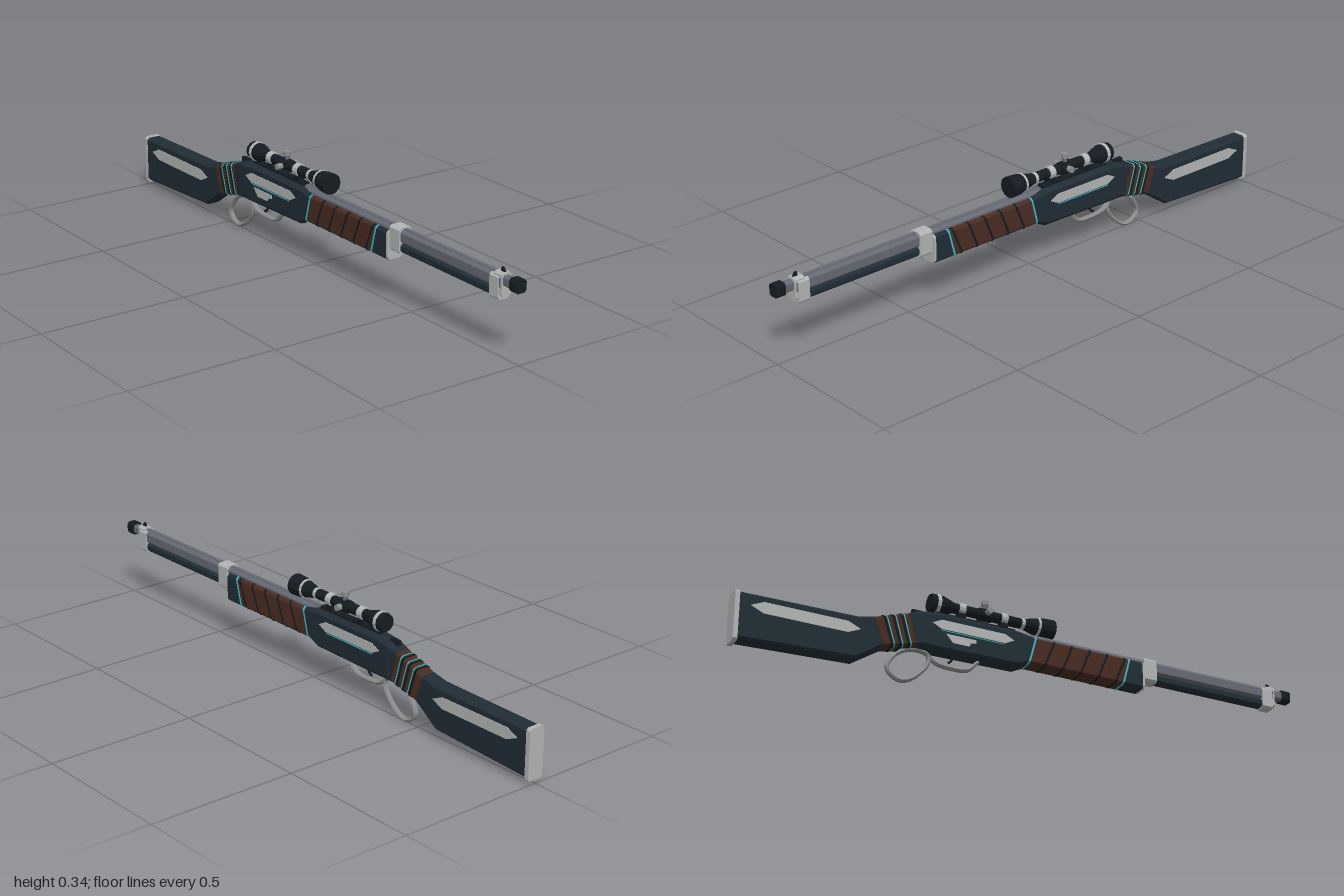
import * as THREE from 'three';

const mat = (name, color, extra = {}) => {
  const m = new THREE.MeshStandardMaterial({ color, flatShading: true, ...extra });
  m.name = name;
  return m;
};

export function createModel() {
  const group = new THREE.Group();
  const navy = mat('dark navy', 0x212d36);
  const black = mat('black', 0x151c21);
  const silver = mat('silver', 0xb4b6b6);
  const steel = mat('barrel steel', 0x676a74);
  const lever = mat('lever grey', 0x8b8c8c);
  const brown = mat('brown wrap', 0x4a2c22);
  const cyan = mat('cyan trim', 0x35c3cc);

  const add = (name, geometry, material, x = 0, y = 0, z = 0) => {
    const mesh = new THREE.Mesh(geometry, material);
    mesh.name = name;
    mesh.position.set(x, y, z);
    group.add(mesh);
    return mesh;
  };

  // Chamfered sections along x; station = [topX, topY, bottomX, bottomY, halfWidth, chamfer]
  const loft = (stations) => {
    const rings = stations.map(([tx, ty, bx, by, w, c]) => {
      const f = c / (ty - by), n = w - c;
      return [[0, n], [f, w], [1 - f, w], [1, n], [1, -n], [1 - f, -w], [f, -w], [0, -n]]
        .map(([t, z]) => [tx + (bx - tx) * t, ty + (by - ty) * t, z]);
    });
    const pos = [];
    const tri = (...p) => p.forEach((q) => pos.push(...q));
    for (let i = 0; i < rings.length - 1; i++) {
      const a = rings[i], b = rings[i + 1];
      for (let j = 0; j < 8; j++) {
        const k = (j + 1) % 8;
        tri(a[j], a[k], b[k]);
        tri(a[j], b[k], b[j]);
      }
    }
    const first = rings[0], last = rings[rings.length - 1];
    for (let j = 1; j < 7; j++) {
      tri(first[0], first[j + 1], first[j]);
      tri(last[0], last[j], last[j + 1]);
    }
    const g = new THREE.BufferGeometry();
    g.setAttribute('position', new THREE.Float32BufferAttribute(pos, 3));
    g.computeVertexNormals();
    return g;
  };
  const bar = (x0, x1, y0, y1, w, c) => loft([[x0, y1, x0, y0, w, c], [x1, y1, x1, y0, w, c]]);

  // Thin slanted band wrapped around a section between stations a and b
  const wrap = (name, a, b, t, width, material, grow, lean = 0) => {
    const s = a.map((v, i) => v + (b[i] - v) * t);
    const slice = (d) => [s[0] + d + lean, s[1] + grow, s[2] + d - lean, s[3] - grow, s[4] + grow, s[5]];
    add(name, loft([slice(-width / 2), slice(width / 2)]), material);
  };

  // Thin decorative plate on one side
  const plate = (name, pts, z, material) => {
    const shape = new THREE.Shape(pts.map((p) => new THREE.Vector2(...p)));
    const g = new THREE.ExtrudeGeometry(shape, { depth: 0.004, bevelEnabled: false });
    add(name, g, material, 0, 0, z - 0.002);
  };

  // Stock and butt plate
  add('stock', loft([
    [-0.985, 0.183, -0.985, 0.026, 0.028, 0.008],
    [-0.6, 0.188, -0.605, 0.042, 0.028, 0.008],
    [-0.545, 0.2, -0.515, 0.102, 0.027, 0.008],
  ]), navy);
  add('buttPlate', bar(-1, -0.985, 0.018, 0.186, 0.029, 0.007), silver);

  // Wrapped grip
  const gripA = [-0.545, 0.2, -0.513, 0.104, 0.027, 0.008];
  const gripB = [-0.43, 0.238, -0.4, 0.13, 0.027, 0.008];
  add('grip', loft([gripA, gripB]), brown);
  for (let i = 0; i < 3; i++) {
    wrap('gripBand', gripA, gripB, 0.26 + i * 0.25, 0.009, black, 0.0012);
    wrap('gripTrim', gripA, gripB, 0.33 + i * 0.25, 0.004, cyan, 0.0012);
  }

  // Receiver with hammer
  add('receiver', loft([
    [-0.43, 0.238, -0.4, 0.13, 0.028, 0.008],
    [-0.385, 0.256, -0.385, 0.13, 0.031, 0.012],
    [-0.32, 0.263, -0.32, 0.13, 0.031, 0.012],
    [-0.04, 0.262, -0.05, 0.134, 0.031, 0.012],
    [0.012, 0.252, -0.014, 0.152, 0.031, 0.012],
  ]), navy);
  add('hammer', bar(-0.41, -0.375, 0.24, 0.264, 0.008, 0.002), black);

  // Wrapped fore-end
  const foreA = [0.012, 0.25, -0.014, 0.154, 0.03, 0.008];
  const foreB = [0.365, 0.25, 0.339, 0.154, 0.03, 0.008];
  add('foreEnd', loft([foreA, foreB]), brown);
  for (let i = 1; i <= 5; i++) wrap('foreEndBand', foreA, foreB, i / 5.4, 0.008, black, 0.001, 0.007);
  wrap('foreEndTrim', foreA, foreB, 0.01, 0.006, cyan, 0.0015);
  wrap('foreEndTrim', foreA, foreB, 0.99, 0.006, cyan, 0.0015);
  add('foreEndCap', loft([foreB, [0.41, 0.25, 0.41, 0.154, 0.03, 0.008]]), navy);
  add('foreEndRim', bar(0.41, 0.418, 0.155, 0.249, 0.029, 0.008), silver);

  // Barrel, magazine tube, bands and muzzle
  add('barrel', bar(-0.04, 0.93, 0.22, 0.265, 0.019, 0.009), steel);
  add('barrelRib', bar(-0.04, 0.9, 0.262, 0.268, 0.007, 0.001), steel);
  add('magazineTube', bar(0.4, 0.92, 0.192, 0.221, 0.018, 0.007), navy);
  add('rearBand', bar(0.42, 0.468, 0.188, 0.27, 0.024, 0.007), silver);
  add('frontBand', bar(0.885, 0.925, 0.188, 0.264, 0.022, 0.007), silver);
  add('frontBandLug', bar(0.9, 0.936, 0.2, 0.272, 0.018, 0.006), silver);
  add('muzzleNeck', bar(0.93, 0.972, 0.233, 0.265, 0.014, 0.006), steel);
  add('muzzle', bar(0.968, 1, 0.229, 0.27, 0.019, 0.007), black);
  add('frontSight', loft([
    [0.915, 0.285, 0.912, 0.265, 0.003, 0.0005],
    [0.922, 0.285, 0.935, 0.265, 0.003, 0.0005],
  ]), black);

  // Lever loop, trigger guard and trigger
  const tube = (name, pts, closed, radius, material) => {
    const curve = new THREE.CatmullRomCurve3(pts.map(([x, y]) => new THREE.Vector3(x, y, 0)), closed);
    add(name, new THREE.TubeGeometry(curve, 36, radius, 6, closed), material).scale.z = 1.3;
  };
  tube('leverLoop', [[-0.49, 0.05], [-0.478, 0.028], [-0.445, 0.013], [-0.405, 0.027], [-0.353, 0.085],
    [-0.352, 0.118], [-0.405, 0.126], [-0.457, 0.102]], true, 0.007, lever);
  tube('triggerGuard', [[-0.35, 0.115], [-0.325, 0.097], [-0.27, 0.09], [-0.215, 0.096], [-0.178, 0.132]],
    false, 0.007, lever);
  tube('trigger', [[-0.272, 0.135], [-0.27, 0.118], [-0.285, 0.104]], false, 0.004, black);

  // Side inlays on both sides
  const inlay = (x0, x1, y, h, e) =>
    [[x0, y], [x0 + e, y - h], [x1 - e, y - h], [x1, y], [x1 - e, y + h], [x0 + e, y + h]];
  for (const s of [1, -1]) {
    plate('stockInlay', inlay(-0.95, -0.592, 0.142, 0.019, 0.042), s * 0.028, silver);
    plate('receiverInlay', inlay(-0.352, -0.065, 0.219, 0.016, 0.032), s * 0.031, silver);
    plate('receiverTrim', [[-0.32, 0.198], [-0.1, 0.198], [-0.1, 0.2], [-0.32, 0.2]], s * 0.031, cyan);
  }
  plate('loadingGate', [[-0.305, 0.19], [-0.28, 0.163], [-0.225, 0.163], [-0.215, 0.176], [-0.2, 0.178],
    [-0.2, 0.19]], 0.031, silver);

  // Scope body, rings, turrets and mounts
  const scopeY = 0.302;
  const turned = (name, pts, material) => {
    const g = new THREE.LatheGeometry(pts.map(([x, r]) => new THREE.Vector2(r, x)), 12);
    g.rotateZ(-Math.PI / 2);
    add(name, g, material, 0, scopeY, 0);
  };
  turned('scopeBody', [[-0.35, 0], [-0.35, 0.029], [-0.34, 0.031], [-0.305, 0.03], [-0.265, 0.017],
    [-0.02, 0.017], [0.025, 0.028], [0.05, 0.033], [0.088, 0.035], [0.088, 0]], black);
  for (const [x, r, w] of [[-0.326, 0.0325, 0.012], [-0.24, 0.021, 0.022], [-0.09, 0.021, 0.022],
    [-0.022, 0.0185, 0.012], [0.032, 0.0315, 0.008]]) {
    turned('scopeRing', [[x - w / 2, 0], [x - w / 2, r], [x + w / 2, r], [x + w / 2, 0]], silver);
  }
  turned('turretCollar', [[-0.178, 0], [-0.178, 0.021], [-0.132, 0.021], [-0.132, 0]], black);
  add('topTurret', new THREE.CylinderGeometry(0.008, 0.008, 0.03, 10), steel, -0.155, 0.325, 0);
  add('topTurretCap', new THREE.CylinderGeometry(0.0125, 0.0125, 0.014, 10), lever, -0.155, 0.342, 0);
  for (const s of [1, -1]) {
    add('sideTurret', new THREE.CylinderGeometry(0.0105, 0.0105, 0.02, 10), lever,
      -0.155, scopeY, s * (s > 0 ? 0.033 : 0.027)).rotation.x = Math.PI / 2;
  }
  add('scopeRail', bar(-0.33, -0.05, 0.258, 0.272, 0.012, 0.003), black);
  for (const x of [-0.24, -0.09]) add('scopeMount', bar(x - 0.013, x + 0.013, 0.266, 0.29, 0.012, 0.002), black);

  return group;
}
